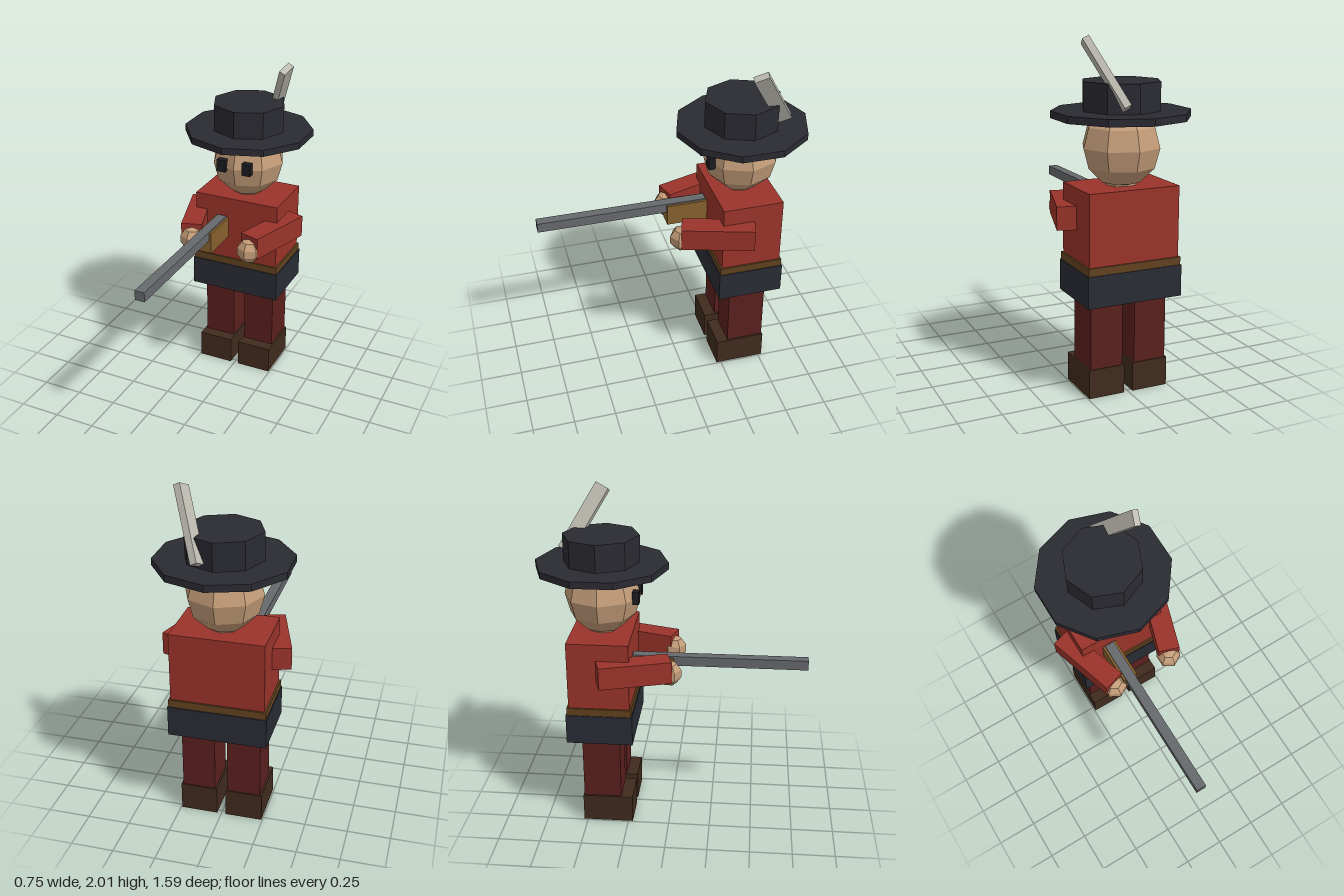
import * as THREE from 'three';

const Z = -0.405; // depth of the body axis

const mat = (color) => new THREE.MeshStandardMaterial({ color, flatShading: true });
const M = {
  coat: mat(0x9a332a), trousers: mat(0x5a201d), boot: mat(0x412b1d), skirt: mat(0x2a2c35),
  belt: mat(0x62421f), skin: mat(0xc49d79), hat: mat(0x2a2a32), eye: mat(0x1c1c22),
  feather: mat(0xbfbcb2), metal: mat(0x66696c), wood: mat(0x87602f),
};

export function createModel() {
  const model = new THREE.Group();
  model.name = 'soldier';

  const add = (name, geometry, material, x, y, z) => {
    const mesh = new THREE.Mesh(geometry, material);
    mesh.name = name;
    mesh.position.set(x, y, z);
    model.add(mesh);
    return mesh;
  };
  const box = (name, material, [w, h, d], [x, y, z]) =>
    add(name, new THREE.BoxGeometry(w, h, d), material, x, y, z);
  const disc = (name, material, r, h, sides, y) =>
    add(name, new THREE.CylinderGeometry(r, r, h, sides), material, 0, y, Z);

  // Body
  box('torso', M.coat, [0.54, 0.405, 0.36], [0, 0.9875, Z]);
  box('belt', M.belt, [0.56, 0.045, 0.38], [0, 0.7625, Z]);
  box('coatSkirt', M.skirt, [0.57, 0.18, 0.392], [0, 0.65, Z]);

  // Mirrored limbs and eyes
  for (const [side, s] of [['left', 1], ['right', -1]]) {
    box(side + 'Leg', M.trousers, [0.195, 0.4, 0.226], [s * 0.135, 0.365, Z]);
    box(side + 'Boot', M.boot, [0.217, 0.17, 0.302], [s * 0.135, 0.085, -0.373]);
    const arm = box(side + 'Arm', M.coat, [0.127, 0.133, 0.423], [s * 0.251, 1.023, -0.2]);
    arm.rotation.y = -s * 0.3;
    const hand = add(side + 'Hand', new THREE.SphereGeometry(0.074, 6, 5), M.skin, s * 0.187, 0.994, 0);
    hand.rotation.y = Math.PI / 2;
    box(side + 'Eye', M.eye, [0.055, 0.075, 0.037], [s * 0.081, 1.415, -0.199]);
  }

  // Head
  disc('neck', M.skin, 0.09, 0.06, 8, 1.2);
  add('head', new THREE.SphereGeometry(0.224, 8, 6), M.skin, 0, 1.4, Z);

  // Hat with a leaning feather
  disc('hatBrim', M.hat, 0.387, 0.04, 10, 1.58);
  disc('hatCrown', M.hat, 0.223, 0.17, 8, 1.675);
  const feather = box('feather', M.feather, [0.04, 0.43, 0.086], [0.15, 1.808, -0.525]);
  feather.rotation.set(0.505, -0.12, -0.4, 'ZXY');

  // Long gun held forward in the right hand
  box('gunBarrel', M.metal, [0.059, 0.058, 1.02], [-0.092, 1.041, 0.29]);
  box('gunStock', M.wood, [0.087, 0.13, 0.26], [-0.092, 0.996, -0.107]);

  return model;
}
